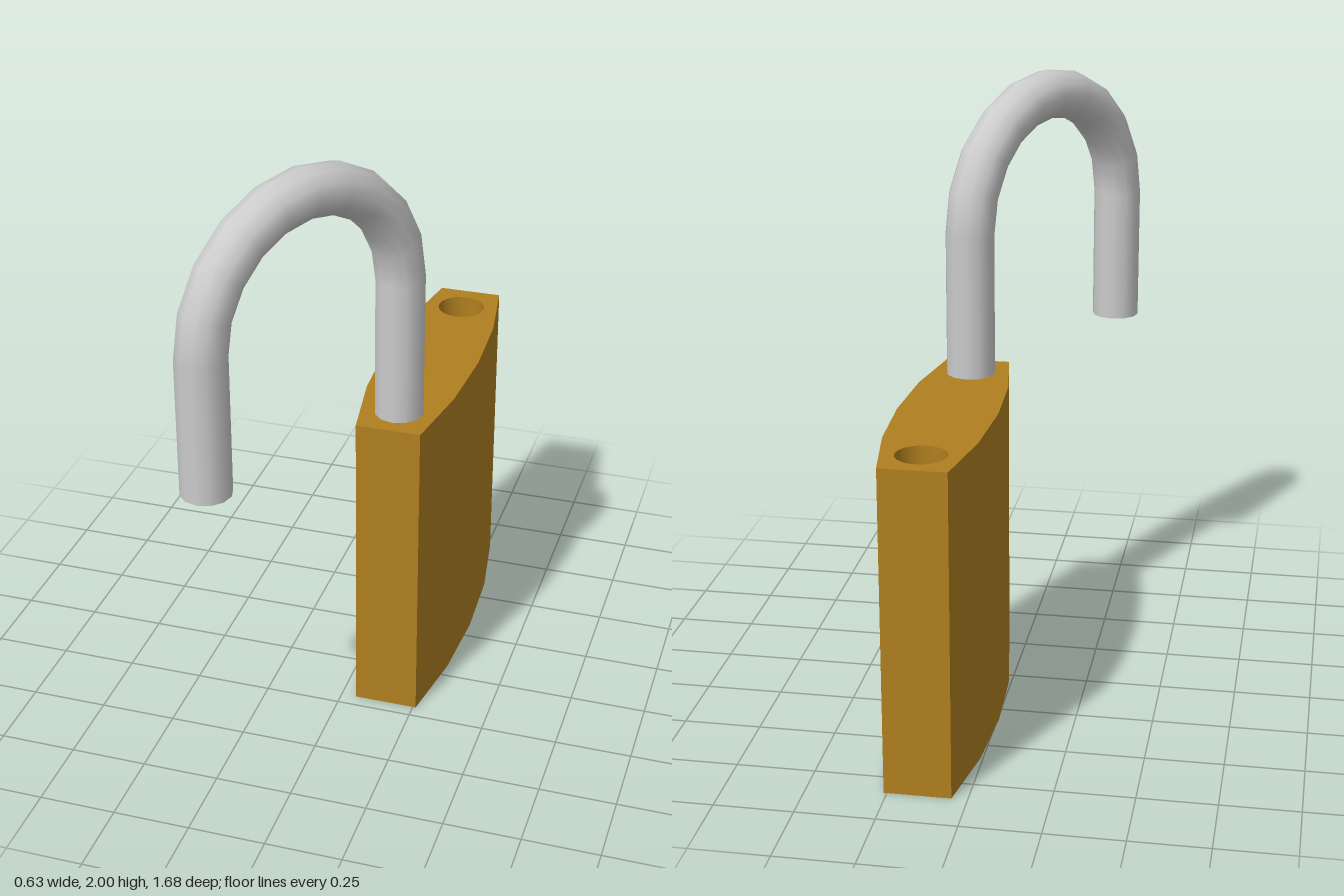
import * as THREE from 'three';
import { toCreasedNormals } from 'three/addons/utils/BufferGeometryUtils.js';

const BODY_X = 0.155, BODY_Z = -0.32, BODY_TOP = 1.055;
const ROD = 0.08, SPAN = 0.79, SIDES = 12;

// Plan outline of the body: flat ends, gently bowed sides (shape y = -z)
function bodyOutline() {
  const bow = [[-0.525, 0.105], [-0.265, 0.147], [0, 0.16], [0.265, 0.147], [0.525, 0.105]];
  const right = bow.map(([l, w]) => new THREE.Vector2(w, l));
  const left = bow.map(([l, w]) => new THREE.Vector2(-w, -l));
  return new THREE.Shape([...right, ...left]);
}

// One upright slab of the body between two heights
function slab(name, shape, y0, y1, material) {
  let geo = new THREE.ExtrudeGeometry(shape, { depth: y1 - y0, bevelEnabled: false, curveSegments: 10 });
  geo.rotateX(-Math.PI / 2);
  geo = toCreasedNormals(geo, 0.7);
  const mesh = new THREE.Mesh(geo, material);
  mesh.name = name;
  mesh.position.set(BODY_X, y0, BODY_Z);
  return mesh;
}

export function createModel() {
  const model = new THREE.Group();
  model.name = 'padlock';
  const brass = new THREE.MeshStandardMaterial({ color: 0xb08020 });
  const steel = new THREE.MeshStandardMaterial({ color: 0xcccccc });

  // Body: solid lower part, upper part pierced by the shackle socket
  const holeFloor = BODY_TOP - 0.2;
  const pierced = bodyOutline();
  pierced.holes.push(new THREE.Path().absarc(0, SPAN / 2, ROD, 0, Math.PI * 2, true));
  const body = new THREE.Group();
  body.name = 'body';
  body.add(
    slab('lowerBody', bodyOutline(), 0, holeFloor, brass),
    slab('upperBodyWithSocket', pierced, holeFloor, BODY_TOP, brass),
  );
  model.add(body);

  // Shackle: swung open around its fixed leg
  const shackle = new THREE.Group();
  shackle.name = 'shackle';
  shackle.position.set(BODY_X, 0, 0.075);
  shackle.rotation.y = -Math.PI * 2 / 3;
  const R = SPAN / 2, springY = 2 - ROD - R;

  const arch = new THREE.Mesh(new THREE.TorusGeometry(R, ROD, SIDES, 10, Math.PI), steel);
  arch.name = 'shackleArch';
  arch.position.set(R, springY, 0);
  shackle.add(arch);

  for (const [name, x, bottom] of [['fixedLeg', 0, 0.9], ['freeLeg', SPAN, 1.08]]) {
    const leg = new THREE.Mesh(new THREE.CylinderGeometry(ROD, ROD, springY - bottom, SIDES), steel);
    leg.name = name;
    leg.position.set(x, (springY + bottom) / 2, 0);
    shackle.add(leg);
  }
  model.add(shackle);
  return model;
}
